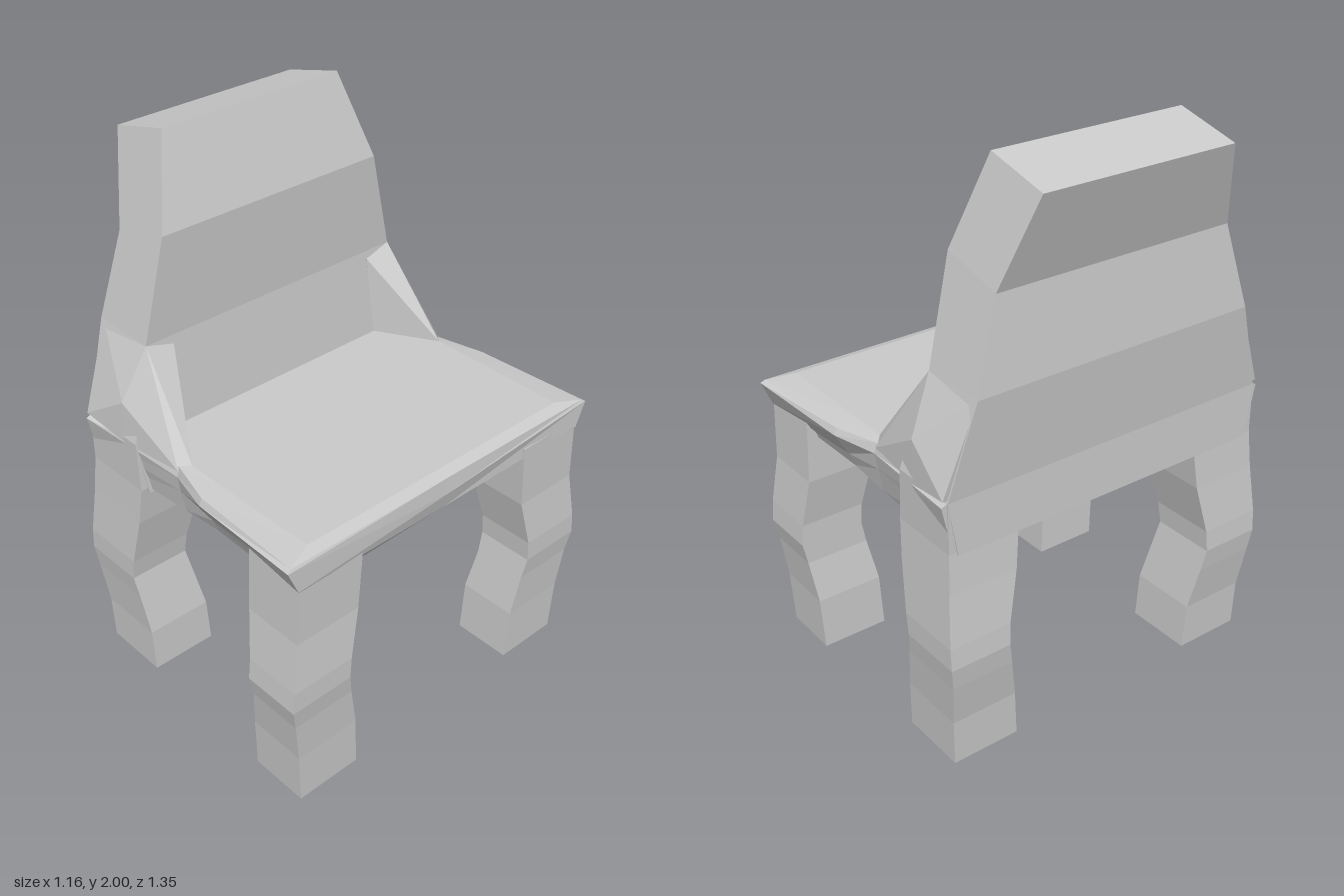
import * as THREE from 'three';
import { ConvexGeometry } from 'three/addons/geometries/ConvexGeometry.js';

const material = new THREE.MeshStandardMaterial({ color: 0xcccccc, flatShading: true });

// Skin a stack of rings (bottom to top, counter-clockwise from above) and cap both ends.
function loft(rings) {
  const pos = [];
  const tri = (...pts) => pts.forEach((p) => pos.push(...p));
  const n = rings[0].length;
  for (let r = 0; r < rings.length - 1; r++) {
    const a = rings[r], b = rings[r + 1];
    for (let i = 0; i < n; i++) {
      const j = (i + 1) % n;
      tri(a[i], a[j], b[j]);
      tri(a[i], b[j], b[i]);
    }
  }
  const cap = (ring, up) => {
    const c = [0, 1, 2].map((k) => ring.reduce((s, p) => s + p[k], 0) / n);
    for (let i = 0; i < n; i++) {
      const j = (i + 1) % n;
      if (up) tri(c, ring[i], ring[j]);
      else tri(c, ring[j], ring[i]);
    }
  };
  cap(rings[0], false);
  cap(rings[rings.length - 1], true);
  const geometry = new THREE.BufferGeometry();
  geometry.setAttribute('position', new THREE.Float32BufferAttribute(pos, 3));
  geometry.computeVertexNormals();
  return geometry;
}

// Four-cornered ring whose back and front edges may sit at different heights.
const quadRing = (xBack, yBack, xFront, yFront, z0, z1) => [
  [xFront, yFront, z1], [xFront, yFront, z0], [xBack, yBack, z0], [xBack, yBack, z1],
];

// Ten-cornered seat outline: half is [x, y, z] from front corner to back corner.
function seatRing(half, frontMid, backMid) {
  const right = half.map(([x, y, z]) => [x, y, -z]);
  return [frontMid, ...right, backMid, ...half.slice().reverse()];
}

export function createModel() {
  const chair = new THREE.Group();
  chair.name = 'chair';
  const add = (name, geometry) => {
    const mesh = new THREE.Mesh(geometry, material);
    mesh.name = name;
    chair.add(mesh);
  };

  // Bent, tapering backrest
  add('backrest', loft([
    quadRing(-0.495, 0.83, -0.22, 0.82, -0.6, 0.6),
    quadRing(-0.49, 1.02, -0.235, 1.02, -0.63, 0.63),
    quadRing(-0.515, 1.34, -0.27, 1.34, -0.535, 0.535),
    quadRing(-0.49, 1.64, -0.26, 1.7, -0.45, 0.45),
    quadRing(-0.585, 1.94, -0.35, 2.0, -0.36, 0.36),
  ]));

  // Seat slab with a flared rim, bevelled edge and bowed front
  add('seat', loft([
    seatRing([[0.54, 0.87, 0.6], [0.12, 0.85, 0.58], [-0.05, 0.835, 0.58], [-0.47, 0.82, 0.6]],
      [0.53, 0.885, 0], [-0.47, 0.82, 0]),
    seatRing([[0.565, 0.91, 0.635], [0.12, 0.9, 0.6], [-0.05, 0.92, 0.595], [-0.485, 0.92, 0.63]],
      [0.55, 0.89, 0], [-0.485, 0.92, 0]),
    seatRing([[0.565, 1.0, 0.675], [0.12, 0.985, 0.65], [-0.05, 0.98, 0.605], [-0.485, 1.01, 0.65]],
      [0.565, 0.95, 0], [-0.485, 1.0, 0]),
    seatRing([[0.56, 1.01, 0.66], [0.12, 1.01, 0.64], [-0.05, 1.015, 0.595], [-0.485, 1.02, 0.63]],
      [0.56, 1.01, 0], [-0.485, 1.02, 0]),
    seatRing([[0.52, 1.022, 0.56], [0.12, 1.022, 0.565], [-0.03, 1.022, 0.565], [-0.45, 1.022, 0.58]],
      [0.52, 1.022, 0], [-0.45, 1.022, 0]),
  ]));

  // Legs: [y, back x, front x, inner z, outer z]
  const frontLeg = [
    [0, 0.33, 0.55, 0.375, 0.625], [0.2, 0.335, 0.555, 0.385, 0.635],
    [0.36, 0.36, 0.565, 0.415, 0.655], [0.44, 0.36, 0.575, 0.43, 0.672],
    [0.52, 0.36, 0.575, 0.425, 0.665], [0.7, 0.335, 0.56, 0.385, 0.64],
    [0.94, 0.335, 0.562, 0.37, 0.632],
  ];
  const backLeg = [
    [0.03, -0.485, -0.235, 0.375, 0.625], [0.2, -0.49, -0.24, 0.385, 0.63],
    [0.36, -0.515, -0.27, 0.415, 0.645], [0.44, -0.525, -0.285, 0.43, 0.655],
    [0.52, -0.52, -0.275, 0.425, 0.655], [0.7, -0.5, -0.24, 0.385, 0.64],
    [0.84, -0.49, -0.225, 0.37, 0.63], [1.02, -0.49, -0.235, 0.37, 0.63],
  ];

  // Wings bracing the backrest against the seat
  const wing = [
    [-0.51, 1.34, 0.53], [-0.27, 1.34, 0.535], [-0.265, 1.31, 0.43], [-0.24, 1.02, 0.44],
    [-0.02, 1.02, 0.565], [-0.05, 1.0, 0.6], [-0.3, 1.15, 0.625], [-0.3, 1.0, 0.63],
    [-0.485, 1.03, 0.645], [-0.48, 1.03, 0.5],
  ];

  for (const [side, s] of [['Left', -1], ['Right', 1]]) {
    for (const [name, rows] of [['frontLeg', frontLeg], ['backLeg', backLeg]]) {
      add(name + side, loft(rows.map(([y, xb, xf, zi, zo]) =>
        quadRing(xb, y, xf, y, Math.min(s * zi, s * zo), Math.max(s * zi, s * zo)))));
    }
    add('wing' + side, new ConvexGeometry(wing.map(([x, y, z]) => new THREE.Vector3(x, y, s * z))));
  }
  return chair;
}
